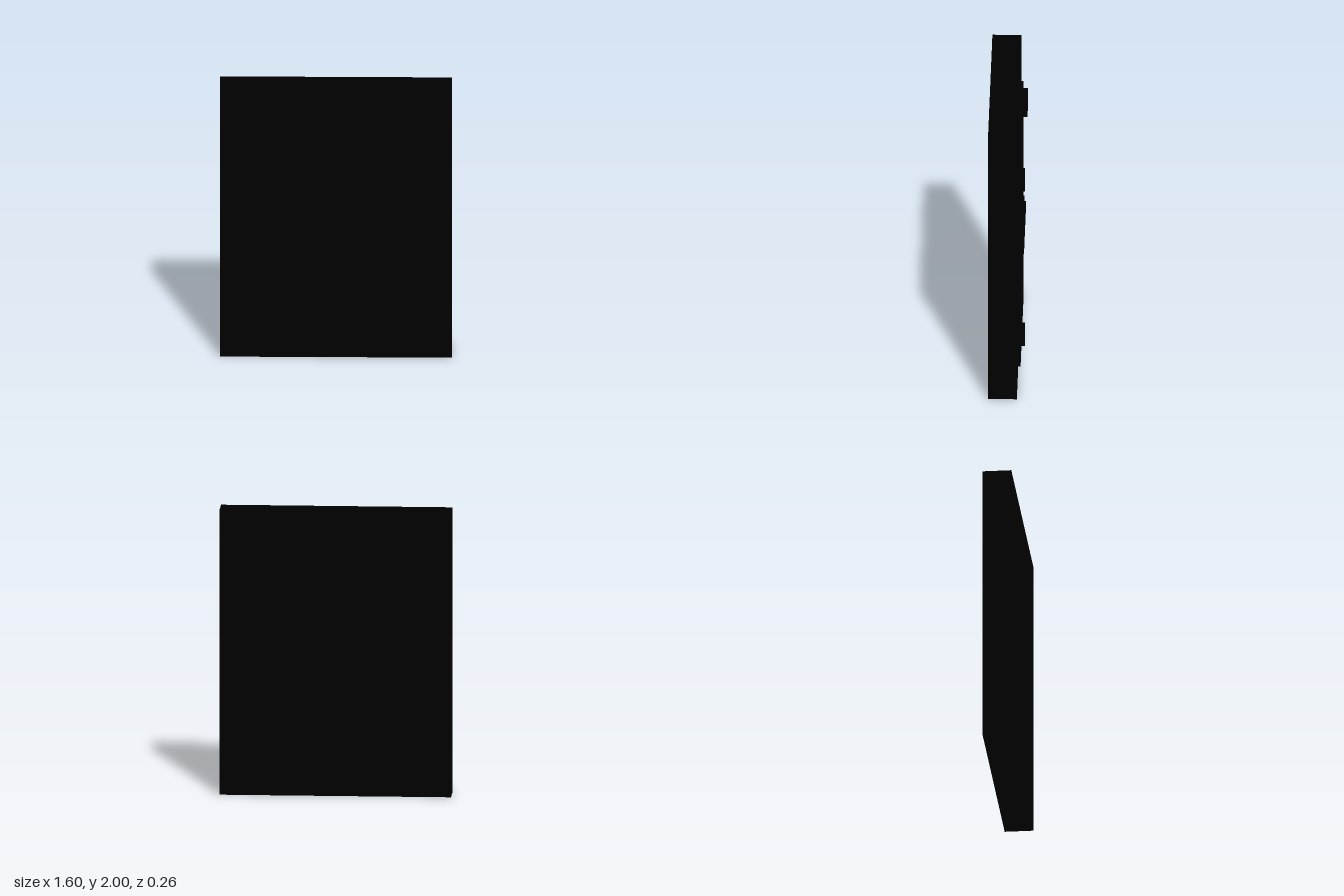
import * as THREE from 'three';

const black = new THREE.MeshStandardMaterial({ color: 0x000000 });
black.name = 'black';

// Box given by its low and high corners
function box(name, [x0, y0, z0], [x1, y1, z1]) {
  const geo = new THREE.BoxGeometry(x1 - x0, y1 - y0, z1 - z0);
  geo.translate((x0 + x1) / 2, (y0 + y1) / 2, (z0 + z1) / 2);
  const mesh = new THREE.Mesh(geo, black);
  mesh.name = name;
  return mesh;
}

function rect(PathType, x, y0, y1) {
  return new PathType([
    new THREE.Vector2(-x, y0), new THREE.Vector2(x, y0),
    new THREE.Vector2(x, y1), new THREE.Vector2(-x, y1),
  ]);
}

// Rectangular slab with a rectangular opening; outer and inner are [halfWidth, bottom, top]
function surround(name, outer, inner, z0, z1) {
  const shape = rect(THREE.Shape, ...outer);
  shape.holes.push(rect(THREE.Path, ...inner));
  const geo = new THREE.ExtrudeGeometry(shape, { depth: z1 - z0, bevelEnabled: false });
  geo.translate(0, 0, z0);
  const mesh = new THREE.Mesh(geo, black);
  mesh.name = name;
  return mesh;
}

export function createModel() {
  const model = new THREE.Group();
  model.name = 'exitDoor';
  const opening = [0.5, 0.1, 1.8];
  const doorway = [0.42, 0.16, 1.73];

  // Wall, door frame and recessed door leaf
  model.add(surround('wall', [0.8, 0, 2], opening, -0.07, 0.13));
  model.add(surround('doorFrame', opening, doorway, -0.09, 0.07));
  model.add(box('doorLeaf', [-0.42, 0.16, -0.07], [0.42, 1.73, 0.01]));

  // Push bar on its two end brackets
  for (const side of [-1, 1]) {
    const cx = side * 0.32;
    model.add(box('barBracket', [cx - 0.04, 0.86, -0.10], [cx + 0.04, 0.98, -0.07]));
  }
  model.add(box('pushBar', [-0.32, 0.88, -0.11], [0.32, 0.96, -0.08]));

  // Hinges on the frame
  for (const y of [0.25, 1.45]) {
    model.add(box('hinge', [0.42, y, -0.12], [0.48, y + 0.15, -0.08]));
  }

  // Lamp box above the door
  model.add(box('lampBox', [-0.12, 1.84, -0.13], [0.12, 1.94, -0.07]));
  return model;
}
